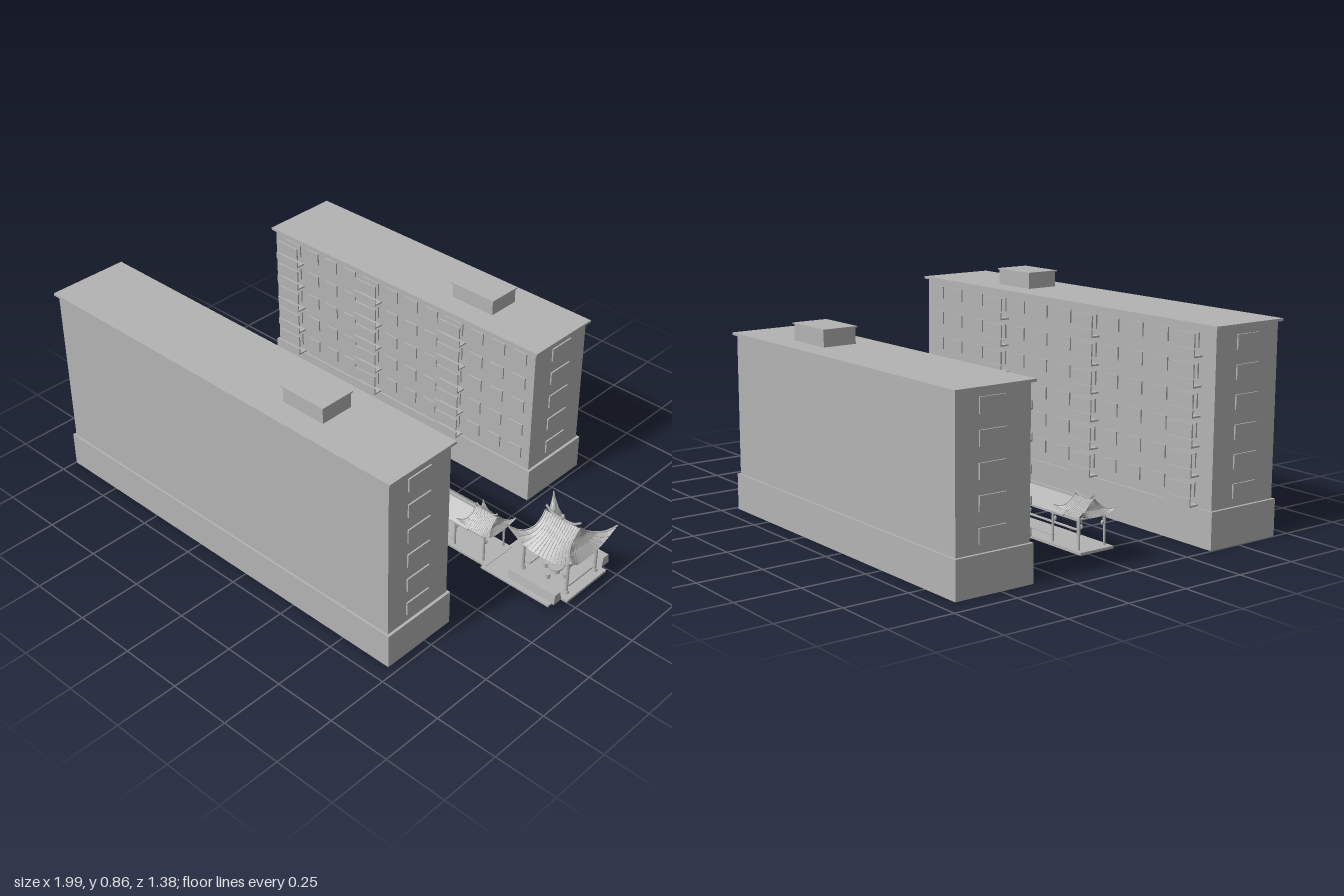
import * as THREE from 'three';

const grey = new THREE.MeshStandardMaterial({ color: 0xb3b3b3, side: THREE.DoubleSide });
grey.name = 'plain grey';

function add(parent, name, geometry, x = 0, y = 0, z = 0) {
  const m = new THREE.Mesh(geometry, grey);
  m.name = name;
  m.position.set(x, y, z);
  parent.add(m);
  return m;
}

// box given by its limits on each axis
function block(parent, name, x0, x1, y0, y1, z0, z1) {
  return add(parent, name, new THREE.BoxGeometry(x1 - x0, y1 - y0, z1 - z0),
    (x0 + x1) / 2, (y0 + y1) / 2, (z0 + z1) / 2);
}

// thin bar between two points
function bar(parent, name, a, b, r, sides = 4) {
  const A = new THREE.Vector3(...a), B = new THREE.Vector3(...b);
  const m = add(parent, name, new THREE.CylinderGeometry(r, r, A.distanceTo(B), sides));
  m.position.copy(A).lerp(B, 0.5);
  m.quaternion.setFromUnitVectors(new THREE.Vector3(0, 1, 0), B.sub(A).normalize());
  return m;
}

// apartment block; its courtyard side faces +z before being placed
function apartment(name, o) {
  const g = new THREE.Group();
  g.name = name;
  const { x0, x1, top, floors, hut, balconies, windows } = o;
  const back = -0.685, face = -0.375;
  block(g, 'base', x0 + 0.003, x1 - 0.003, 0, 0.14, back, -0.367);
  block(g, 'body', x0 + 0.014, x1 - 0.014, 0.14, top - 0.01, back + 0.008, face);
  block(g, 'roofSlab', x0, x1, top - 0.01, top, back - 0.004, -0.363);
  block(g, 'roofHut', hut[0] + 0.005, hut[1] - 0.005, top, top + 0.06, -0.595, -0.46);
  block(g, 'roofHutCap', hut[0], hut[1], top + 0.06, top + 0.065, -0.60, -0.455);
  for (let i = 0; i < floors; i++) {
    const y = 0.145 + i * 0.1065;
    for (const x of [x0 + 0.014, x1 - 0.014])
      block(g, 'endWindow', x - 0.006, x + 0.006, y + 0.025, y + 0.079, -0.585, -0.475);
    for (const x of windows)
      block(g, 'window', x - 0.032, x + 0.032, y + 0.034, y + 0.084, face - 0.004, face + 0.006);
    for (const x of balconies) {
      const a = x - 0.06, b = x + 0.06;
      block(g, 'balconyFloor', a, b, y, y + 0.006, face, -0.334);
      block(g, 'balconyParapet', a, b, y, y + 0.03, -0.339, -0.334);
      block(g, 'balconyDoor', x - 0.045, x + 0.045, y + 0.03, y + 0.084, face - 0.004, face + 0.006);
      block(g, 'balconyScreen', a + 0.005, b - 0.005, y + 0.034, y + 0.084, -0.345, -0.339);
    }
  }
  return g;
}

// swept roof: rectangular rings from ridge to eave, corners lifted and drawn out
function sweptRoof(rings, lift, flare) {
  const N = 12, count = N * 4, pos = [], idx = [];
  rings.forEach(([hx, hz, y], r) => {
    const t = r / (rings.length - 1);
    for (let i = 0; i < count; i++) {
      const s = Math.floor(i / N), u = (i % N) / N * 2 - 1;
      const [px, pz] = [[u, 1], [1, -u], [-u, -1], [-1, u]][s];
      const c = Math.pow(Math.min(Math.abs(px), Math.abs(pz)), 4) * t * t;
      pos.push(px * (hx + flare * c), y + lift * c * t, pz * (hz + flare * c));
    }
  });
  for (let r = 0; r < rings.length - 1; r++)
    for (let i = 0; i < count; i++) {
      const a = r * count + i, b = r * count + (i + 1) % count;
      idx.push(a, a + count, b, b, a + count, b + count);
    }
  const g = new THREE.BufferGeometry();
  g.setAttribute('position', new THREE.Float32BufferAttribute(pos, 3));
  g.setIndex(idx);
  const flat = g.toNonIndexed();
  flat.computeVertexNormals();
  return flat;
}

// swept roof with ridge, hip ribs and tile ribs
function tiledRoof(parent, name, x, z, rings, lift, flare, r) {
  const g = new THREE.Group();
  g.name = name;
  g.position.set(x, 0, z);
  parent.add(g);
  add(g, 'roofSkin', sweptRoof(rings, lift, flare));
  const n = rings.length - 1, N = 14;
  const line = (label, f, rad) => {
    const pts = rings.map(([hx, hz, y], i) => new THREE.Vector3(...f(hx, hz, y, (i / n) ** 2, i / n)));
    add(g, label, new THREE.TubeGeometry(new THREE.CatmullRomCurve3(pts), 8, rad, 4));
  };
  for (const s of [-1, 1]) {
    for (const q of [-1, 1])
      line('hipRib', (hx, hz, y, c, t) => [s * (hx + flare * c), y + lift * c * t + r, q * (hz + flare * c)], r * 1.5);
    for (let k = 1; k < N; k++) {
      const u = k / N * 2 - 1;
      const e = (c) => Math.abs(u) ** 4 * c;
      line('tileRib', (hx, hz, y, c, t) => [u * (hx + flare * e(c)), y + lift * e(c) * t, s * (hz + flare * e(c))], r * 0.7);
      line('tileRib', (hx, hz, y, c, t) => [s * (hx + flare * e(c)), y + lift * e(c) * t, u * (hz + flare * e(c))], r * 0.7);
    }
  }
  const [rx, , ry] = rings[0];
  const ridge = new THREE.CatmullRomCurve3([[-rx, 0.02], [-rx * 0.6, 0.003], [0, 0], [rx * 0.6, 0.003], [rx, 0.02]]
    .map(([a, b]) => new THREE.Vector3(a, ry + b * r / 0.002, 0)));
  add(g, 'ridge', new THREE.TubeGeometry(ridge, 12, r * 2, 5));
  return g;
}

function pavilion() {
  const g = new THREE.Group();
  g.name = 'pavilion';
  const cx = 0.845, cz = -0.098;
  block(g, 'terrace', 0.625, 0.94, 0.02, 0.028, -0.16, 0.085);
  block(g, 'floor', 0.72, 0.975, 0.02, 0.03, -0.215, 0.02);
  // end steps with sloping sides
  for (const [z, s] of [[0.043, 1], [-0.24, -1]]) {
    const step = new THREE.Shape([[-0.022, 0], [0.022, 0], [0.017, 0.04], [-0.012, 0.04]]
      .map(([a, b]) => new THREE.Vector2(a * s, b)));
    const m = add(g, 'endBlock', new THREE.ExtrudeGeometry(step, { depth: 0.215, bevelEnabled: false }), 0.95, 0.024, z);
    m.rotation.y = -Math.PI / 2;
  }
  for (const x of [-0.1, 0.1])
    for (const z of [-0.085, 0.085]) {
      bar(g, 'column', [cx + x, 0.03, cz + z], [cx + x, 0.17, cz + z], 0.006, 10);
      add(g, 'columnFoot', new THREE.CylinderGeometry(0.008, 0.011, 0.012, 10), cx + x, 0.036, cz + z);
    }
  for (const s of [-1, 1]) {
    block(g, 'beam', cx - 0.1, cx + 0.1, 0.148, 0.16, cz + s * 0.085 - 0.004, cz + s * 0.085 + 0.004);
    block(g, 'beam', cx + s * 0.1 - 0.004, cx + s * 0.1 + 0.004, 0.148, 0.16, cz - 0.085, cz + 0.085);
    block(g, 'bench', cx + s * 0.09 - 0.01, cx + s * 0.09 + 0.01, 0.05, 0.056, cz - 0.07, cz + 0.07);
  }
  // arched stone panel
  const arch = new THREE.Shape();
  arch.moveTo(-0.023, 0);
  arch.lineTo(0.023, 0);
  arch.lineTo(0.023, 0.077);
  arch.absarc(0, 0.077, 0.023, 0, Math.PI, false);
  add(g, 'archedPanel', new THREE.ExtrudeGeometry(arch, { depth: 0.008, bevelEnabled: false }), cx, 0.03, cz - 0.089);
  // table and stools
  add(g, 'tableTop', new THREE.CylinderGeometry(0.03, 0.03, 0.006, 16), cx, 0.058, cz + 0.02);
  add(g, 'tableFoot', new THREE.CylinderGeometry(0.012, 0.018, 0.028, 12), cx, 0.042, cz + 0.02);
  for (let i = 0; i < 4; i++) {
    const a = i * Math.PI / 2;
    add(g, 'stool', new THREE.CylinderGeometry(0.009, 0.009, 0.018, 10),
      cx + Math.cos(a) * 0.044, 0.039, cz + 0.02 + Math.sin(a) * 0.044);
  }
  tiledRoof(g, 'pavilionRoof', cx, cz, [[0.078, 0.001, 0.265], [0.076, 0.02, 0.243], [0.076, 0.045, 0.217],
    [0.09, 0.075, 0.19], [0.107, 0.095, 0.172], [0.122, 0.112, 0.155]], 0.08, 0.024, 0.0025);
  add(g, 'finial', new THREE.SphereGeometry(0.007, 10, 8), cx, 0.275, cz).scale.y = 1.8;
  return g;
}

function corridor() {
  const g = new THREE.Group();
  g.name = 'coveredWalk';
  const x0 = -0.82, x1 = 0.64, cz = -0.005, bays = 10;
  block(g, 'walkFloor', x0, x1, 0.02, 0.03, -0.08, 0.07);
  // gabled roof along the walk
  const chevron = new THREE.Shape([[-0.071, 0.138], [0, 0.187], [0.071, 0.138], [0.071, 0.144], [0, 0.195], [-0.071, 0.144]]
    .map(([a, b]) => new THREE.Vector2(a, b)));
  const roof = add(g, 'walkRoof', new THREE.ExtrudeGeometry(chevron, { depth: 1.26, bevelEnabled: false }), -0.72, 0, cz);
  roof.rotation.y = Math.PI / 2;
  block(g, 'walkRidge', -0.72, 0.54, 0.19, 0.202, cz - 0.004, cz + 0.004);
  // columns, tie beams and zigzag bracing
  const xs = (i) => -0.79 + i * 1.4 / bays;
  for (let i = 0; i <= bays; i++) {
    for (const s of [-1, 1]) {
      const z = cz + s * 0.058;
      if (i === 0 || i === 1 || i === bays - 1 || i === bays || i % 2 === 0)
        bar(g, 'walkColumn', [xs(i), 0.03, z], [xs(i), 0.145, z], 0.0045, 8);
      add(g, 'hangingLantern', new THREE.SphereGeometry(0.006, 8, 6), xs(i), 0.112, cz + s * 0.048).scale.y = 1.6;
      bar(g, 'lanternCord', [xs(i), 0.112, cz + s * 0.048], [xs(i), 0.14, cz + s * 0.048], 0.001);
    }
    bar(g, 'tieBeam', [xs(i), 0.138, cz - 0.058], [xs(i), 0.138, cz + 0.058], 0.004);
    bar(g, 'kingPost', [xs(i), 0.138, cz], [xs(i), 0.188, cz], 0.003);
    if (i < bays) {
      const mid = (xs(i) + xs(i + 1)) / 2;
      bar(g, 'bracing', [xs(i), 0.138, cz - 0.058], [mid, 0.138, cz + 0.058], 0.0025);
      bar(g, 'bracing', [mid, 0.138, cz + 0.058], [xs(i + 1), 0.138, cz - 0.058], 0.0025);
    }
  }
  for (const s of [-1, 1]) {
    block(g, 'eaveBeam', xs(0), xs(bays), 0.132, 0.142, cz + s * 0.058 - 0.003, cz + s * 0.058 + 0.003);
    block(g, 'walkBench', xs(0) + 0.14, xs(bays) - 0.14, 0.05, 0.054, cz + s * 0.055 - 0.006, cz + s * 0.055 + 0.006);
  }
  // raised roofs over both ends
  for (const x of [-0.75, 0.57])
    tiledRoof(g, 'endRoof', x, cz, [[0.05, 0.001, 0.203], [0.048, 0.018, 0.186], [0.052, 0.04, 0.165],
      [0.062, 0.055, 0.153], [0.069, 0.066, 0.145]], 0.026, 0.01, 0.0016);
  return g;
}

export function createModel() {
  const model = new THREE.Group();
  model.name = 'courtyardHousing';
  model.add(apartment('rearBlock', {
    x0: -0.92, x1: 0.485, top: 0.685, floors: 5, hut: [-0.015, 0.195],
    balconies: [-0.805, -0.365, 0.075],
    windows: [-0.69, -0.585, -0.48, -0.25, -0.145, -0.04, 0.19, 0.295, 0.4],
  }));
  // the front block is turned so that its balconies face the courtyard
  const front = apartment('frontBlock', {
    x0: -0.72, x1: 1.0, top: 0.795, floors: 6, hut: [-0.335, -0.135],
    balconies: [-0.22, 0.325, 0.86],
    windows: [-0.63, -0.5, -0.36, -0.09, 0.05, 0.19, 0.46, 0.59, 0.72],
  });
  front.rotation.y = Math.PI;
  model.add(front, pavilion(), corridor());
  return model;
}
